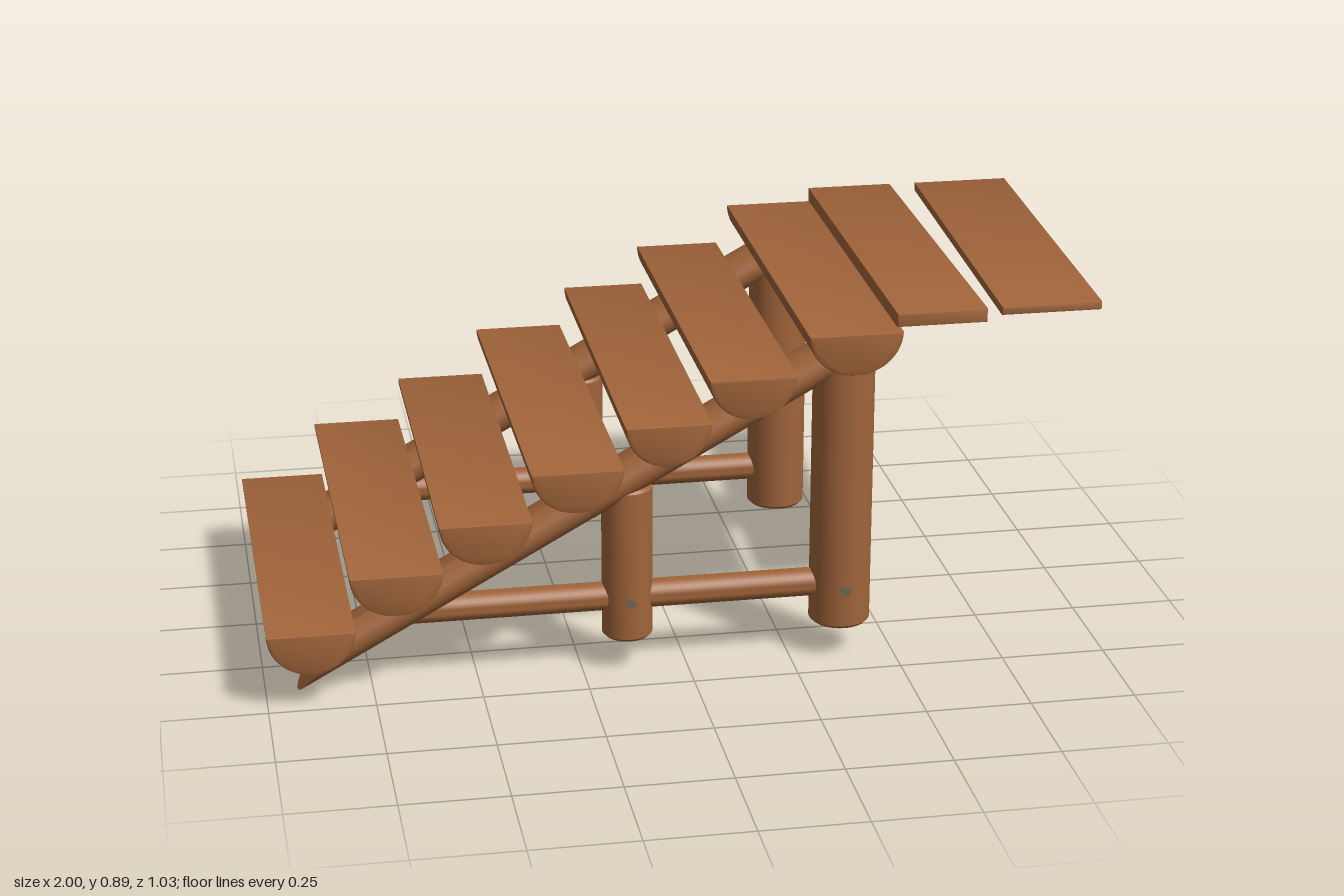
import * as THREE from 'three';
import { toCreasedNormals } from 'three/addons/utils/BufferGeometryUtils.js';

const wood = new THREE.MeshStandardMaterial({ color: 0xa0643a });
wood.name = 'wood';
const boltMetal = new THREE.MeshStandardMaterial({ color: 0x6e6a58 });
boltMetal.name = 'bolt metal';

function add(group, name, geometry, x = 0, y = 0, z = 0, material = wood) {
  const mesh = new THREE.Mesh(geometry, material);
  mesh.name = name;
  mesh.position.set(x, y, z);
  group.add(mesh);
  return mesh;
}

// Extrude a profile along z between z0 and z1 with chamfered ends, skewed sideways
function timber(shape, z0, z1, skew, chamfer) {
  const geo = new THREE.ExtrudeGeometry(shape, {
    depth: z1 - z0 - 2 * chamfer, curveSegments: 24, bevelEnabled: true,
    bevelSize: chamfer, bevelOffset: -chamfer, bevelThickness: chamfer, bevelSegments: 2,
  });
  geo.translate(0, 0, z0 + chamfer);
  const p = geo.attributes.position;
  for (let i = 0; i < p.count; i++) p.setX(i, p.getX(i) + skew * p.getZ(i));
  return toCreasedNormals(geo, 0.6);
}

// Half log: flat face up at y = 0, round side down
function halfLog(width, depth, z0, z1, skew) {
  const s = new THREE.Shape();
  s.absellipse(0, 0, width / 2, depth, Math.PI, Math.PI * 2, false);
  s.closePath();
  return timber(s, z0, z1, skew, 0.008);
}

function plank(width, thickness, z0, z1, skew) {
  const w = width / 2, s = new THREE.Shape();
  s.moveTo(-w, -thickness).lineTo(w, -thickness).lineTo(w, 0).lineTo(-w, 0).closePath();
  return timber(s, z0, z1, skew, 0.005);
}

// Round log with slightly chamfered ends, standing on y = 0
function log(radius, height) {
  const c = 0.008, pts = [
    [0, 0], [radius - c, 0], [radius, c], [radius, height - c], [radius - c, height], [0, height],
  ].map(([x, y]) => new THREE.Vector2(x, y));
  return toCreasedNormals(new THREE.LatheGeometry(pts, 32), 0.6);
}

// Flattened sloping log, with its foot cut level with the ground
function stringer() {
  const slope = 0.555, angle = Math.atan(slope), topX = 0.345, footX = -0.875;
  const length = (topX - footX) / Math.cos(angle);
  const geo = new THREE.CylinderGeometry(1, 1, length, 32, 1);
  geo.scale(0.046, 1, 0.067);
  geo.translate(0, length / 2, 0);
  const p = geo.attributes.position;
  for (let i = 0; i < p.count; i++) {
    if (p.getY(i) < length / 2) p.setY(i, p.getX(i) * -1 / Math.tan(angle));
  }
  geo.rotateZ(angle - Math.PI / 2);
  geo.translate(footX, 0, 0);
  return toCreasedNormals(geo, 0.6);
}

export function createModel() {
  const model = new THREE.Group();
  model.name = 'logStairs';

  // Half-log treads: centre x, top y, width, back z, front z, skew
  const steps = [
    [-0.897, 0.11, 0.205, -0.49, 0.505, 0.003],
    [-0.698, 0.24, 0.215, -0.512, 0.5, 0.006],
    [-0.485, 0.355, 0.215, -0.5, 0.505, -0.004],
    [-0.275, 0.47, 0.215, -0.518, 0.508, 0.004],
    [-0.06, 0.573, 0.2, -0.508, 0.515, -0.006],
    [0.135, 0.673, 0.205, -0.508, 0.505, 0],
    [0.375, 0.768, 0.22, -0.518, 0.515, -0.006],
  ];
  steps.forEach(([x, y, w, z0, z1, skew], i) =>
    add(model, `step${i + 1}`, halfLog(w, 0.101, z0, z1, skew), x, y, 0));

  // Landing planks
  add(model, 'innerPlank', plank(0.213, 0.033, -0.5, 0.5, -0.009), 0.58, 0.808, 0);
  add(model, 'outerPlank', plank(0.238, 0.02, -0.505, 0.49, -0.041), 0.858, 0.806, 0);

  // Mirrored supporting frame
  for (const side of [1, -1]) {
    const frame = new THREE.Group();
    frame.name = side > 0 ? 'frontFrame' : 'backFrame';
    frame.position.z = side * 0.375;
    model.add(frame);
    add(frame, 'tallPost', log(0.073, 0.705), 0.375, 0, 0);
    add(frame, 'shortPost', log(0.06, 0.385), -0.14, 0, 0);
    add(frame, 'stringer', stringer());
    add(frame, 'rail', log(0.034, 1.06), 0.375, 0.1, 0).rotation.z = Math.PI / 2;
    // Bolt heads where the rail meets the posts
    for (const [x, r] of [[0.375, 0.073], [-0.14, 0.06]]) {
      const bolt = new THREE.CylinderGeometry(0.012, 0.012, 0.006, 12);
      add(frame, 'bolt', bolt, x, 0.1, side * r, boltMetal).rotation.x = Math.PI / 2;
    }
  }
  return model;
}
